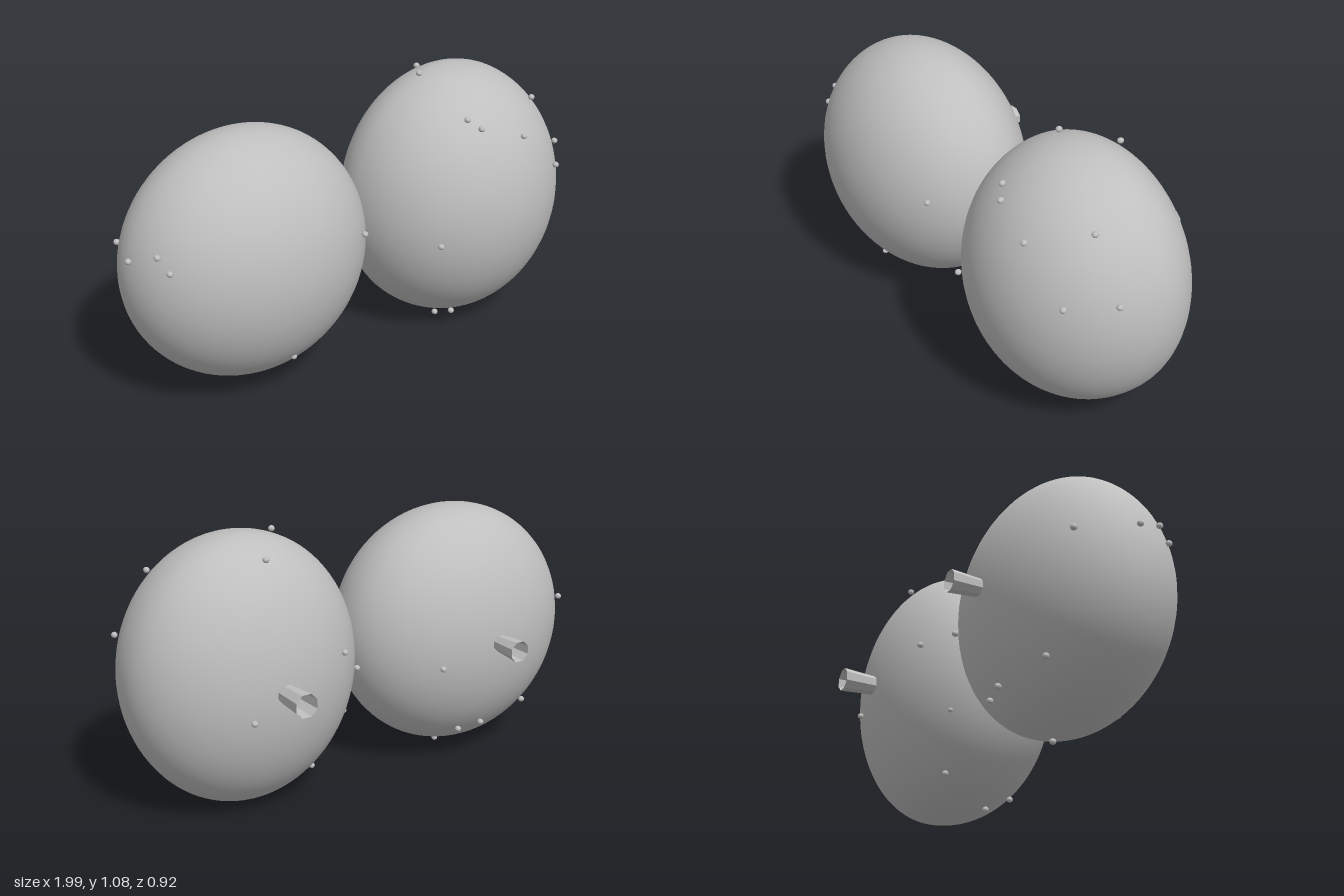
import * as THREE from 'three';

const grey = new THREE.MeshStandardMaterial({ color: 0xbfbfbf, side: THREE.DoubleSide });
grey.name = 'plain grey';
const stemGrey = grey.clone();
stemGrey.flatShading = true;

// Each pod: centre, half width, half height, depth to front and back, stem radii, bump positions
const pods = [
  {
    name: 'rightPod', centre: [-0.478, 0.54, 0.01], rx: 0.51, ry: 0.5, front: 0.392, back: 0.35,
    stem: [0.044, 0.032],
    bumps: [
      [-0.93, 0.71, 0.16], [-0.985, 0.66, 0.04], [-0.91, 0.66, 0.21], [-0.1, 0.605, 0.285],
      [-0.43, 0.175, 0.275], [-0.415, 0.025, 0], [-0.22, 0.475, -0.305], [-0.91, 0.62, -0.19],
      [-0.36, 0.16, -0.23], [-0.46, 0.175, -0.25], [-0.72, 0.2, -0.2],
    ],
  },
  {
    name: 'leftPod', centre: [0.515, 0.542, 0.02], rx: 0.48, ry: 0.538, front: 0.435, back: 0.345,
    stem: [0.048, 0.037],
    bumps: [
      [0.365, 1.07, 0.015], [0.385, 0.96, 0.295], [0.425, 0.925, 0.335], [0.61, 0.863, 0.378],
      [0.795, 0.93, 0.213], [0.94, 0.7, 0.215], [0.81, 0.68, 0.363], [0.21, 0.49, 0.37],
      [0.375, 0.09, 0.25], [0.38, 0.03, 0.14], [0.5, 1.015, -0.168], [0.65, 0.455, -0.317],
      [0.21, 0.62, -0.25], [0.06, 0.48, -0.11], [0.145, 0.33, -0.14], [0.27, 0.11, -0.1],
    ],
  },
];

// Smooth egg whose front and back halves have different depths
function bodyGeometry({ rx, ry, front, back }) {
  const g = new THREE.SphereGeometry(1, 64, 48);
  const p = g.attributes.position;
  const n = new THREE.Vector3();
  for (let i = 0; i < p.count; i++) {
    const x = p.getX(i), y = p.getY(i), z = p.getZ(i);
    const rz = z > 0 ? front : back;
    n.set(x / rx, y / ry, z / rz).normalize();
    p.setXYZ(i, x * rx, y * ry, z * rz);
    g.attributes.normal.setXYZ(i, n.x, n.y, n.z);
  }
  return g;
}

function addMesh(group, name, geometry, material, position) {
  const mesh = new THREE.Mesh(geometry, material);
  mesh.name = name;
  mesh.position.set(...position);
  group.add(mesh);
  return mesh;
}

export function createModel() {
  const model = new THREE.Group();
  model.name = 'pairOfPods';
  const bumpGeometry = new THREE.SphereGeometry(0.0125, 10, 8).scale(1, 0.95, 1.1);

  for (const pod of pods) {
    const group = new THREE.Group();
    group.name = pod.name;
    addMesh(group, 'body', bodyGeometry(pod), grey, pod.centre);

    // Hollow stem at the back, flaring outwards
    const [outer, inner] = pod.stem;
    const stem = new THREE.CylinderGeometry(outer, inner, 0.16, 8, 1, true)
      .rotateY(Math.PI / 8).rotateX(-Math.PI / 2);
    addMesh(group, 'stem', stem, stemGrey, [pod.centre[0], 0.543, -0.38]);

    // Small bumps scattered over the skin
    for (const position of pod.bumps) addMesh(group, 'bump', bumpGeometry, grey, position);
    model.add(group);
  }
  return model;
}
